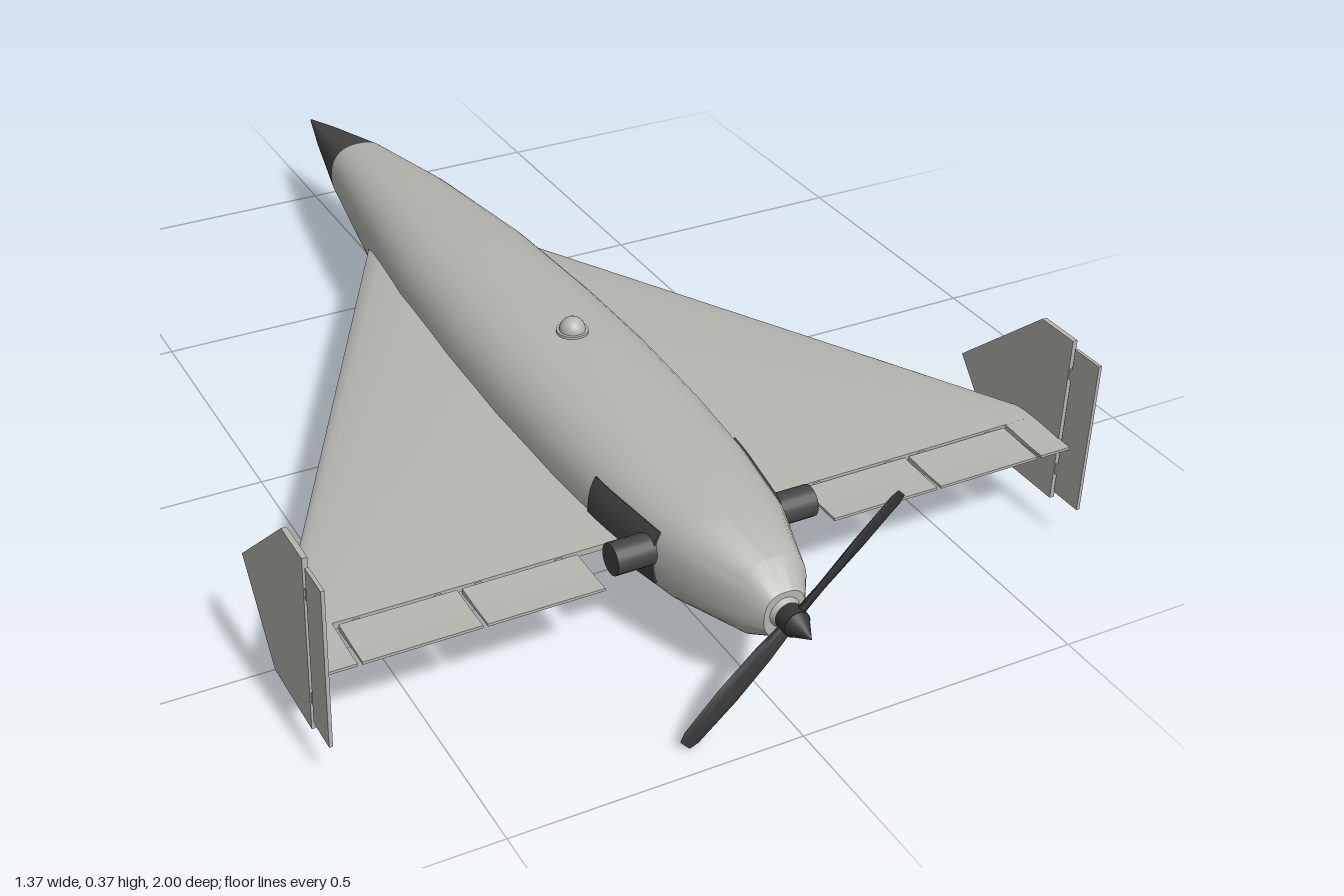
import * as THREE from 'three';
import { toCreasedNormals } from 'three/addons/utils/BufferGeometryUtils.js';

const material = (name, color) => Object.assign(new THREE.MeshStandardMaterial({ color }), { name });

// Closed solid through rings of equal point count, ends capped, faces turned outward
function loft(rings, crease = 0.6) {
  const n = rings[0].length, pos = rings.flat(2), idx = [];
  for (let i = 0; i < rings.length - 1; i++) {
    for (let j = 0; j < n; j++) {
      const a = i * n + j, b = i * n + (j + 1) % n;
      idx.push(a, b, a + n, b, b + n, a + n);
    }
  }
  [0, rings.length - 1].forEach((r) => {
    const c = pos.length / 3;
    for (let k = 0; k < 3; k++) pos.push(rings[r].reduce((s, p) => s + p[k], 0) / n);
    for (let j = 0; j < n; j++) {
      const a = r * n + j, b = r * n + (j + 1) % n;
      idx.push(...(r ? [c, a, b] : [c, b, a]));
    }
  });
  const v = (i) => new THREE.Vector3().fromArray(pos, i * 3);
  let volume = 0;
  for (let i = 0; i < idx.length; i += 3) volume += v(idx[i]).dot(v(idx[i + 1]).cross(v(idx[i + 2])));
  if (volume < 0) idx.reverse();
  const g = new THREE.BufferGeometry();
  g.setAttribute('position', new THREE.Float32BufferAttribute(pos, 3));
  g.setIndex(idx);
  return toCreasedNormals(g, crease);
}

const lerp = THREE.MathUtils.lerp;

// Body stations: z, half width, bottom, top
const STATIONS = [
  [-1, 0.002, 0.188, 0.192], [-0.9, 0.026, 0.162, 0.216], [-0.725, 0.063, 0.126, 0.253],
  [-0.48, 0.102, 0.097, 0.286], [-0.2, 0.138, 0.074, 0.304], [0.05, 0.152, 0.064, 0.31],
  [0.25, 0.155, 0.065, 0.31], [0.45, 0.148, 0.072, 0.305], [0.6, 0.136, 0.083, 0.297],
  [0.75, 0.112, 0.101, 0.284], [0.885, 0.063, 0.125, 0.264], [0.925, 0.036, 0.147, 0.227],
];

function station(z) {
  let i = 0;
  while (i < STATIONS.length - 2 && STATIONS[i + 1][0] < z) i++;
  const a = STATIONS[i], b = STATIONS[i + 1], t = (z - a[0]) / (b[0] - a[0]);
  return a.map((q, k) => lerp(q, b[k], t));
}

// Point on the rounded-square body section
function bodyPoint(z, angle, offset = 0) {
  const [, w, lo, hi] = station(z);
  const f = (c) => Math.sign(c) * Math.abs(c) ** (2 / 2.5);
  return [(w + offset) * f(Math.cos(angle)), (lo + hi) / 2 + ((hi - lo) / 2 + offset) * f(Math.sin(angle)), z];
}

function bodySection(z) {
  return Array.from({ length: 40 }, (_, j) => bodyPoint(z, j / 40 * Math.PI * 2));
}

// Delta wing planform and thickness
const TRAIL = 0.745;
const leadingEdge = (x) => lerp(-0.42, 0.6, (x - 0.11) / 0.57);

function halfThickness(x, z) {
  const le = leadingEdge(x), u = Math.min(1, Math.max(0, (z - le) / (TRAIL - le)));
  const foil = 2.969 * Math.sqrt(u) - 1.26 * u - 3.516 * u ** 2 + 2.843 * u ** 3 - 1.015 * u ** 4;
  return Math.max(lerp(0.025, 0.007, (x - 0.1) / 0.58) * 2 * foil * 0.5, u > 0.3 ? 0.0025 : 0.0005);
}

// Slice of the wing between two spans, from z0(x) back to z1
function wingSlab(side, x0, x1, z0, z1, spans = 8) {
  const rings = [], n = 12;
  for (let i = 0; i <= spans; i++) {
    const x = lerp(x0, x1, i / spans), top = [], bottom = [];
    for (let j = 0; j <= n; j++) {
      const z = lerp(z0(x), z1, (j / n) ** 1.6), h = halfThickness(x, z);
      top.push([side * x, 0.178 + h, z]);
      bottom.unshift([side * x, 0.178 - h, z]);
    }
    rings.push([...top, ...bottom]);
  }
  return loft(rings);
}

// Flat plate from a z,y outline
function plate(x, thickness, outline) {
  return loft([-1, 1].map((s) => outline.map(([z, y]) => [x + s * thickness / 2, y, z])), 0.3);
}

export function createModel() {
  const model = new THREE.Group();
  model.name = 'deltaWingDrone';
  const grey = material('airframe grey', 0xb5b6b0);
  const dark = material('dark grey', 0x454545);
  const black = material('propeller black', 0x363636);
  const add = (name, geometry, mat, parent = model) => {
    const mesh = new THREE.Mesh(geometry, mat);
    mesh.name = name;
    parent.add(mesh);
    return mesh;
  };

  // Body and nose
  const zs = STATIONS.map((s) => s[0]);
  add('nose', loft(zs.slice(0, 3).map(bodySection)), dark);
  add('fuselage', loft(zs.slice(2).map(bodySection)), grey);

  // Sensor dome on the back
  add('domeBase', new THREE.CylinderGeometry(0.028, 0.028, 0.012, 24).translate(0, 0.308, 0.23), grey);
  add('sensorDome', new THREE.SphereGeometry(0.023, 24, 12).translate(0, 0.314, 0.23), grey);

  for (const side of [1, -1]) {
    const half = new THREE.Group();
    half.name = side > 0 ? 'leftSide' : 'rightSide';
    model.add(half);

    // Wing with its fixed tip and two elevons
    add('wing', wingSlab(side, 0.06, 0.678, leadingEdge, 0.646, 16), grey, half);
    add('wingTip', wingSlab(side, 0.618, 0.678, () => 0.645, TRAIL, 1), grey, half);
    for (const [x0, x1] of [[0.208, 0.407], [0.415, 0.61]]) {
      add('elevon', wingSlab(side, x0, x1, () => 0.652, TRAIL, 2), grey, half);
      for (const x of [x0 + 0.03, x1 - 0.03]) {
        add('elevonHinge', new THREE.BoxGeometry(0.012, 0.005, 0.02).translate(side * x, 0.178, 0.65), grey, half);
      }
    }

    // Tip fin and rudder
    const x = side * 0.68;
    add('fin', plate(x, 0.009, [[0.717, 0.373], [0.635, 0.373], [0.441, 0.2], [0.564, 0.06], [0.717, 0.06]]), grey, half);
    add('rudder', plate(x, 0.006, [[0.784, 0.36], [0.723, 0.36], [0.723, 0.076], [0.784, 0.076]]), grey, half);
    for (const y of [0.12, 0.31]) {
      add('rudderHinge', new THREE.BoxGeometry(0.005, 0.02, 0.02).translate(x, y, 0.72), grey, half);
    }

    // Dark engine opening on the flank
    const panel = [];
    for (let i = 0; i <= 6; i++) {
      const z = lerp(0.56, 0.73, i / 6), outer = [], inner = [];
      for (let j = 0; j <= 8; j++) {
        const a = lerp(-0.4, 0.48, j / 8);
        const put = (p) => [side * p[0], p[1], p[2]];
        outer.push(put(bodyPoint(z, a, 0.003)));
        inner.unshift(put(bodyPoint(z, a, -0.004)));
      }
      panel.push([...outer, ...inner]);
    }
    add('enginePanel', loft(panel), dark, half);

    // Engine cylinder sticking out sideways
    add('engineCylinder', new THREE.CylinderGeometry(0.027, 0.027, 0.1, 20)
      .rotateZ(Math.PI / 2).translate(side * 0.131, 0.203, 0.71), dark, half);
  }

  // Pusher propeller
  const propeller = new THREE.Group();
  propeller.name = 'propeller';
  propeller.position.set(0, 0.19, 0.947);
  propeller.rotation.z = Math.PI / 4;
  model.add(propeller);
  add('shaftCollar', new THREE.CylinderGeometry(0.022, 0.028, 0.012, 24).rotateX(Math.PI / 2).translate(0, 0, -0.019), grey, propeller);
  add('hub', new THREE.CylinderGeometry(0.023, 0.023, 0.026, 20).rotateX(Math.PI / 2), black, propeller);
  add('spinner', new THREE.ConeGeometry(0.023, 0.042, 20).rotateX(Math.PI / 2).translate(0, 0, 0.032), black, propeller);
  // Blade sections: radius, half chord, half thickness, pitch
  const blade = [[0.01, 0.01, 0.007, 0.6], [0.07, 0.015, 0.005, 0.45], [0.15, 0.018, 0.004, 0.3],
    [0.235, 0.016, 0.0025, 0.18], [0.25, 0.011, 0.0015, 0.15]];
  for (const side of [1, -1]) {
    add('blade', loft(blade.map(([r, c, t, pitch]) => Array.from({ length: 10 }, (_, j) => {
      const a = j / 10 * Math.PI * 2, u = c * Math.cos(a), w = t * Math.sin(a);
      return [side * r, side * (u * Math.cos(pitch) - w * Math.sin(pitch)), u * Math.sin(pitch) + w * Math.cos(pitch)];
    }))), black, propeller);
  }
  return model;
}
